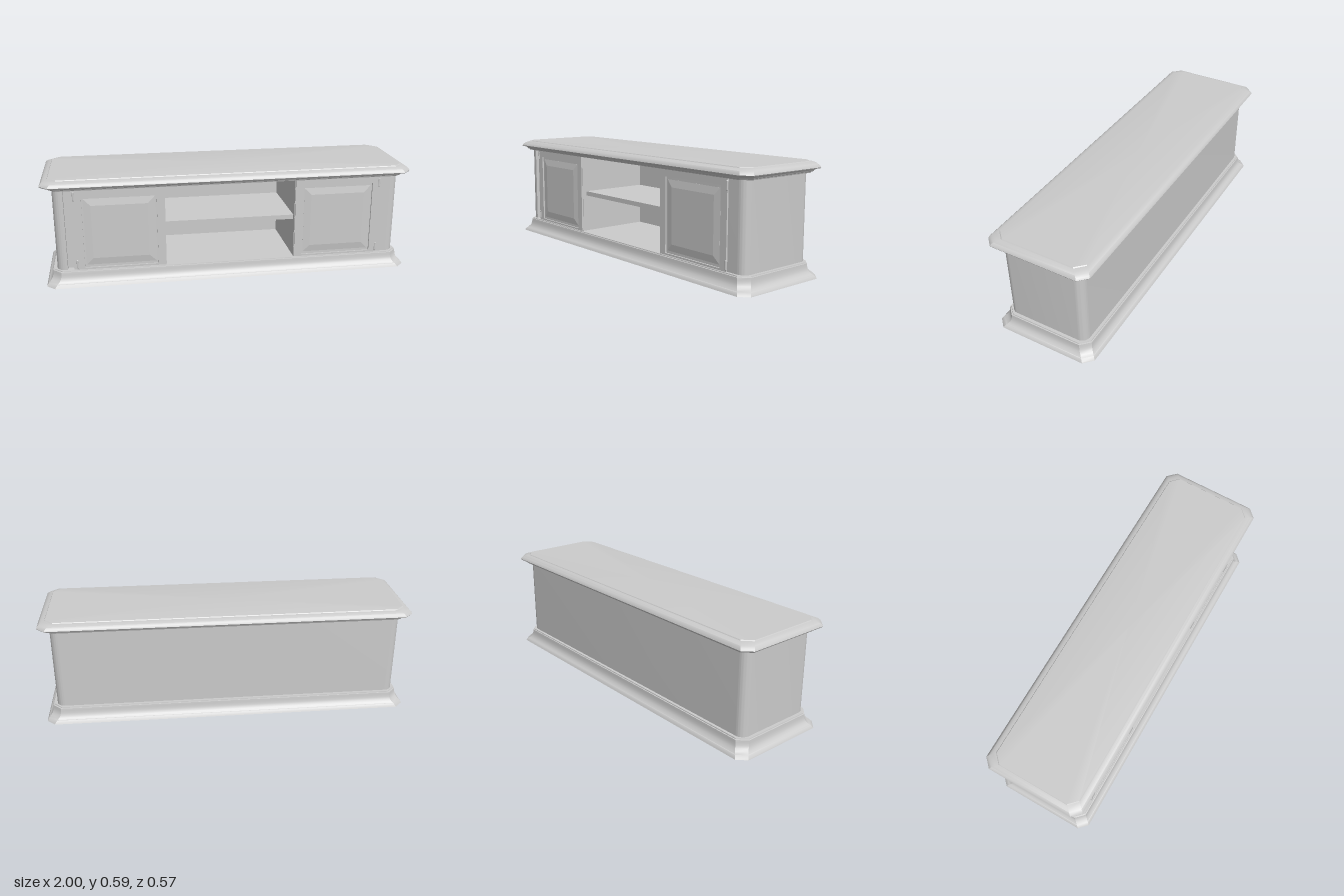
import * as THREE from 'three';
import { toCreasedNormals } from 'three/addons/utils/BufferGeometryUtils.js';

const mat = new THREE.MeshStandardMaterial({ color: 0xcccccc, side: THREE.DoubleSide });

function add(parent, geometry, name, x = 0, y = 0, z = 0) {
  const mesh = new THREE.Mesh(geometry, mat);
  mesh.name = name;
  mesh.position.set(x, y, z);
  parent.add(mesh);
  return mesh;
}

// Corner-cut rectangle with half depth h, counter-clockwise from above
function ring(h, y) {
  const X = h + 0.715, c = 0.045;
  return [[X, h - c], [X, c - h], [X - c, -h], [c - X, -h],
    [-X, c - h], [-X, h - c], [c - X, h], [X - c, h]].map(([x, z]) => [x, y, z]);
}

// Moulding swept round the plan from [half depth, height] points, capped on top
function moulding(profile, capBottom) {
  const rings = profile.map(([h, y]) => ring(h, y));
  const pos = [], last = rings[rings.length - 1];
  for (let i = 0; i < 8; i++) {
    const j = (i + 1) % 8;
    for (let k = 0; k < rings.length - 1; k++) {
      const a = rings[k][i], b = rings[k][j], c = rings[k + 1][j], d = rings[k + 1][i];
      pos.push(...a, ...b, ...c, ...a, ...c, ...d);
    }
    pos.push(0, last[0][1], 0, ...last[i], ...last[j]);
    if (capBottom) pos.push(0, rings[0][0][1], 0, ...rings[0][j], ...rings[0][i]);
  }
  const g = new THREE.BufferGeometry();
  g.setAttribute('position', new THREE.Float32BufferAttribute(pos, 3));
  return toCreasedNormals(g, 0.5);
}

function rect(path, x0, y0, x1, y1) {
  path.moveTo(x0, y0);
  path.lineTo(x1, y0);
  path.lineTo(x1, y1);
  path.lineTo(x0, y1);
  path.closePath();
  return path;
}

// Carcass plan (shape y = -z): rounded corners, open centre bay, groove at one stile
function carcass() {
  const X = 0.942, Z = 0.228, r = 0.045, bay = 0.355, s = new THREE.Shape();
  s.moveTo(-X + r, -Z);
  for (const [x, z] of [[-0.885, Z], [-0.885, 0.2], [-0.852, 0.2], [-0.852, Z],
    [-bay, Z], [-bay, -0.205], [bay, -0.205], [bay, Z], [X - r, Z]]) s.lineTo(x, -z);
  s.absarc(X - r, -Z + r, r, -Math.PI / 2, 0);
  s.lineTo(X, Z - r);
  s.absarc(X - r, Z - r, r, 0, Math.PI / 2);
  s.lineTo(-X + r, Z);
  s.absarc(-X + r, Z - r, r, Math.PI / 2, Math.PI);
  s.lineTo(-X, -Z + r);
  s.absarc(-X + r, -Z + r, r, Math.PI, Math.PI * 1.5);
  const g = new THREE.ExtrudeGeometry(s, { depth: 0.45, bevelEnabled: false, curveSegments: 10 });
  g.rotateX(-Math.PI / 2);
  return toCreasedNormals(g, 0.5);
}

function door(side) {
  const g = new THREE.Group();
  g.name = side > 0 ? 'leftDoor' : 'rightDoor';
  g.position.x = side * 0.596;

  // Frame round the recessed field
  const frame = rect(new THREE.Shape(), -0.238, 0.083, 0.238, 0.53);
  frame.holes.push(rect(new THREE.Path(), -0.197, 0.093, 0.197, 0.492));
  add(g, new THREE.ExtrudeGeometry(frame, { depth: 0.009, bevelEnabled: false }), 'doorFrame', 0, 0, 0.2275);

  // Fielded panel with sloping margins
  const field = rect(new THREE.Shape(), -0.15, 0.145, 0.15, 0.44);
  add(g, new THREE.ExtrudeGeometry(field, {
    depth: 0.0005, bevelThickness: 0.006, bevelSize: 0.038, bevelSegments: 1,
  }), 'doorPanel', 0, 0, 0.229);

  // Hinge knuckles
  for (const y of [0.115, 0.495]) {
    const hinge = add(g, new THREE.CapsuleGeometry(0.005, 0.04, 4, 10), 'hinge', side * 0.235, y, 0.235);
    hinge.scale.x = 1.2;
  }
  return g;
}

export function createModel() {
  const model = new THREE.Group();
  model.name = 'mediaCabinet';

  // Hollow plinth: foot slope, step, cove and top lip
  add(model, moulding([
    [0.285, 0], [0.283, 0.005], [0.274, 0.017], [0.271, 0.019], [0.264, 0.026],
    [0.256, 0.037], [0.252, 0.05], [0.25, 0.063], [0.249, 0.077], [0.244, 0.078], [0.243, 0.083],
  ], false), 'plinth');

  add(model, carcass(), 'carcass', 0, 0.081, 0);

  // Top board with stepped underside and rounded edge
  add(model, moulding([
    [0.25, 0.53], [0.252, 0.535], [0.259, 0.538], [0.263, 0.546], [0.267, 0.549],
    [0.282, 0.552], [0.285, 0.557], [0.281, 0.566], [0.272, 0.575], [0.26, 0.581],
    [0.246, 0.584], [0.243, 0.588],
  ], true), 'topBoard');

  add(model, new THREE.BoxGeometry(0.712, 0.025, 0.41), 'shelf', 0, 0.308, 0);
  for (const side of [-1, 1]) model.add(door(side));
  return model;
}
